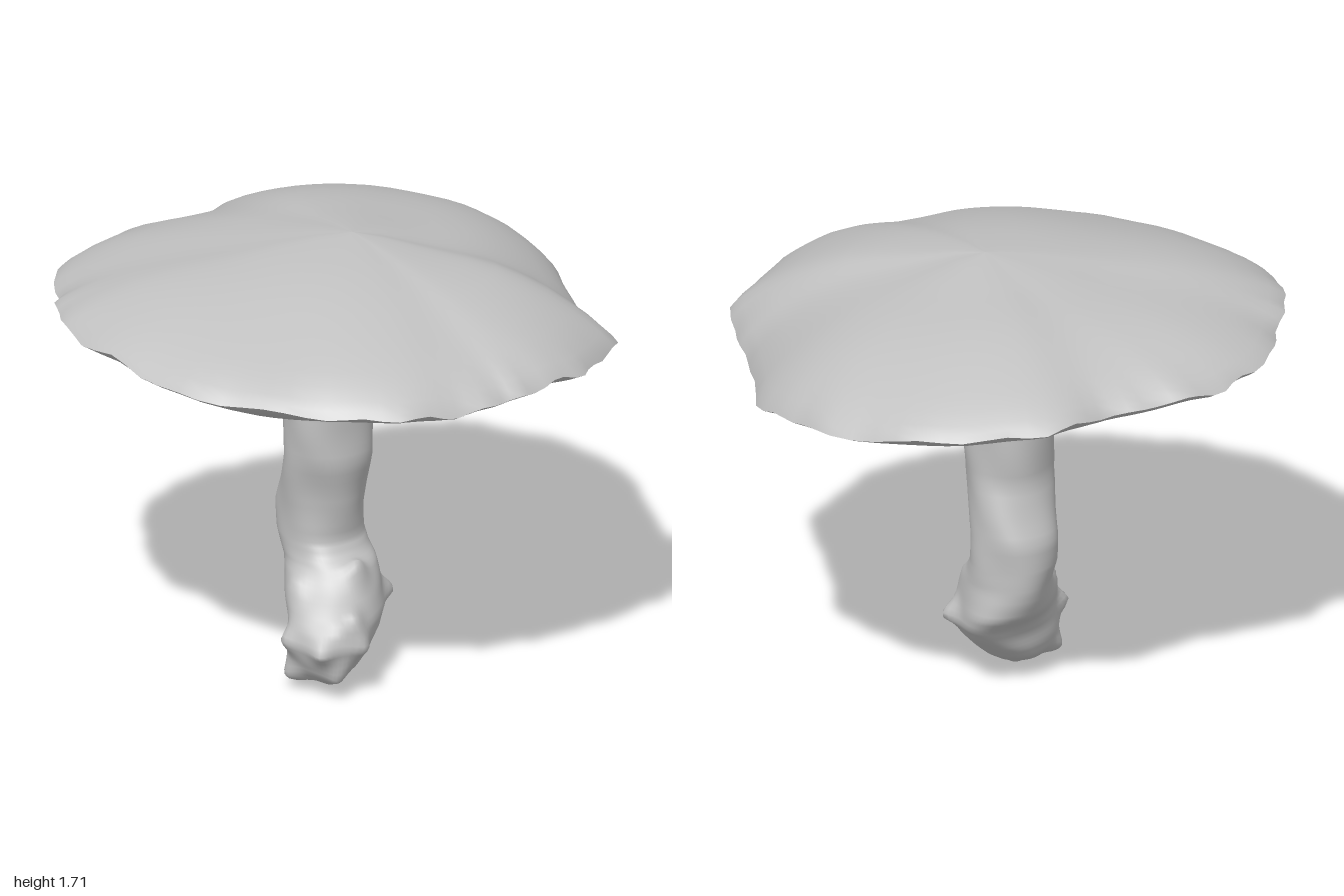
import * as THREE from 'three';

const SEG = 96;
const { lerp } = THREE.MathUtils;

// joins rings (listed top to bottom, each running from +x towards +z) into one skin
function loft(rings) {
  const pos = [], idx = [];
  rings.forEach((ring) => ring.forEach((p) => pos.push(p.x, p.y, p.z)));
  const n = rings[0].length;
  for (let i = 0; i < rings.length - 1; i++) {
    for (let j = 0; j < n; j++) {
      const k = (j + 1) % n;
      const a = i * n + j, b = i * n + k, c = a + n, d = b + n;
      idx.push(a, b, c, b, d, c);
    }
  }
  const g = new THREE.BufferGeometry();
  g.setAttribute('position', new THREE.Float32BufferAttribute(pos, 3));
  g.setIndex(idx);
  g.computeVertexNormals();
  return g;
}

export function createModel() {
  const group = new THREE.Group();
  const flesh = new THREE.MeshStandardMaterial({ color: 0xc0c0c0 });
  flesh.name = 'mushroomGrey';
  flesh.side = THREE.DoubleSide;
  const add = (name, geometry) => {
    const m = new THREE.Mesh(geometry, flesh);
    m.name = name;
    group.add(m);
  };

  // uneven rim of the cap: x, y, z
  const rim = new THREE.CatmullRomCurve3([
    [0.93, 1.36, 0.0], [0.9, 1.37, 0.28], [0.73, 1.39, 0.57], [0.42, 1.41, 0.85],
    [-0.02, 1.45, 0.99], [-0.39, 1.48, 0.96], [-0.62, 1.46, 0.82], [-0.88, 1.44, 0.58],
    [-0.95, 1.43, 0.3], [-0.93, 1.42, 0.0], [-0.96, 1.42, -0.31], [-0.8, 1.4, -0.7],
    [-0.42, 1.35, -0.96], [-0.08, 1.31, -0.99], [0.4, 1.27, -0.82], [0.68, 1.32, -0.73],
    [0.87, 1.36, -0.46], [0.94, 1.38, -0.2],
  ].map((p) => new THREE.Vector3(...p)), true).getPoints(SEG).slice(0, SEG);

  // ring between a centre and the rim: t is the reach outwards, f the share of the centre's height
  const capRing = (centre, t, f) => rim.map((p, j) => {
    const a = (j / SEG) * Math.PI * 2;
    const x = lerp(centre.x, p.x, t), z = lerp(centre.z, p.z, t);
    const dents = 0.006 * (Math.sin(x * 7 + z * 3) + Math.sin(z * 8 - x * 4 + 1)) * 4 * t * (1 - t);
    // ragged edge that fades quickly away from the rim
    const edge = t ** 14;
    const rag = edge * 0.006 * (Math.sin(a * 17) + Math.sin(a * 29 + 1) + Math.sin(a * 11 + 2));
    const sag = edge * 0.007 * (Math.sin(a * 13 + 2) + Math.sin(a * 23));
    return new THREE.Vector3(x * (1 + rag), lerp(p.y, centre.y, f) + dents + sag, z * (1 + rag));
  });

  // domed top
  const apex = new THREE.Vector3(-0.01, 1.7, -0.06);
  add('capTop', loft([
    [0, 1], [0.12, 0.965], [0.25, 0.9], [0.34, 0.85], [0.44, 0.79], [0.55, 0.71], [0.65, 0.61],
    [0.75, 0.5], [0.84, 0.37], [0.9, 0.27], [0.95, 0.16], [0.98, 0.08], [1, 0],
  ].map(([t, f]) => capRing(apex, t, f))));

  // shallow cone underside
  const neck = new THREE.Vector3(-0.05, 1.04, 0.02);
  add('capUnderside', loft([
    [1, 0], [0.98, 0.04], [0.95, 0.085], [0.9, 0.15], [0.8, 0.27], [0.7, 0.38], [0.6, 0.48],
    [0.5, 0.6], [0.4, 0.72], [0.3, 0.85], [0.22, 0.95], [0.16, 1], [0, 1],
  ].map(([t, f]) => capRing(neck, t, f))));

  // bent stem swelling into a bulb: y, xMin, xMax, zMin, zMax, diagonal skew
  const sections = [
    [1.14, -0.25, 0.14, -0.17, 0.22, 0], [1.05, -0.22, 0.105, -0.15, 0.18, 0],
    [0.95, -0.215, 0.1, -0.15, 0.18, 0], [0.84, -0.21, 0.1, -0.145, 0.175, 0],
    [0.72, -0.245, 0.065, -0.15, 0.165, 0], [0.62, -0.28, 0.05, -0.15, 0.16, 0],
    [0.52, -0.275, 0.04, -0.155, 0.16, 0], [0.47, -0.27, 0.07, -0.16, 0.16, 0.05],
    [0.43, -0.265, 0.12, -0.165, 0.165, 0.1], [0.38, -0.255, 0.155, -0.175, 0.19, 0.2],
    [0.32, -0.235, 0.205, -0.185, 0.235, 0.35], [0.26, -0.18, 0.245, -0.185, 0.27, 0.42],
    [0.2, -0.145, 0.255, -0.15, 0.285, 0.42], [0.14, -0.12, 0.24, -0.09, 0.275, 0.35],
    [0.09, -0.085, 0.21, -0.035, 0.255, 0.3], [0.05, -0.03, 0.165, 0.02, 0.22, 0.2],
    [0.025, 0.03, 0.125, 0.07, 0.16, 0], [0.015, 0.08, 0.08, 0.11, 0.11, 0],
  ];
  // ragged knobs pushed out of the bulb: position, push
  const knobs = [
    [[0.13, 0.42, 0.02], [0.015, 0.05, 0]], [[0.25, 0.21, 0.1], [0.04, -0.01, 0]],
    [[0.07, 0.2, 0.28], [-0.01, 0.01, 0.045]], [[0.03, 0.28, -0.18], [0.01, 0, -0.06]],
    [[0.22, 0.29, 0.12], [0.04, 0.02, 0.01]], [[0.05, 0.08, 0.22], [-0.02, -0.03, 0.04]],
    [[0.2, 0.11, 0.17], [0.03, -0.03, 0.02]], [[0.23, 0.2, 0.25], [0.04, 0, 0.04]],
    [[0.09, 0.03, 0.11], [0, -0.025, 0]], [[0.0, 0.36, 0.18], [0, 0.02, 0.025]],
  ].map(([p, d]) => [new THREE.Vector3(...p), new THREE.Vector3(...d)]);

  const stemRing = ([y, x0, x1, z0, z1, skew]) => Array.from({ length: 64 }, (_, j) => {
    const a = (j / 64) * Math.PI * 2;
    const bump = 1 + 0.02 * Math.sin(a * 3 + y * 11) + 0.015 * Math.sin(a * 5 - y * 17);
    const v = new THREE.Vector3(
      (x0 + x1) / 2 + (x1 - x0) / 2 * bump * Math.cos(a), y,
      (z0 + z1) / 2 + (z1 - z0) / 2 * bump * Math.sin(a + skew));
    const base = v.clone();
    knobs.forEach(([p, d]) => v.addScaledVector(d, Math.exp(-base.distanceToSquared(p) / 0.0022)));
    return v;
  });
  const STEPS = 3;
  const rows = [];
  for (let i = 0; i < sections.length - 1; i++) {
    for (let k = 0; k < STEPS; k++) {
      rows.push(sections[i].map((value, c) => lerp(value, sections[i + 1][c], k / STEPS)));
    }
  }
  rows.push(sections[sections.length - 1]);
  add('stemAndBulb', loft(rows.map(stemRing)));

  return group;
}
